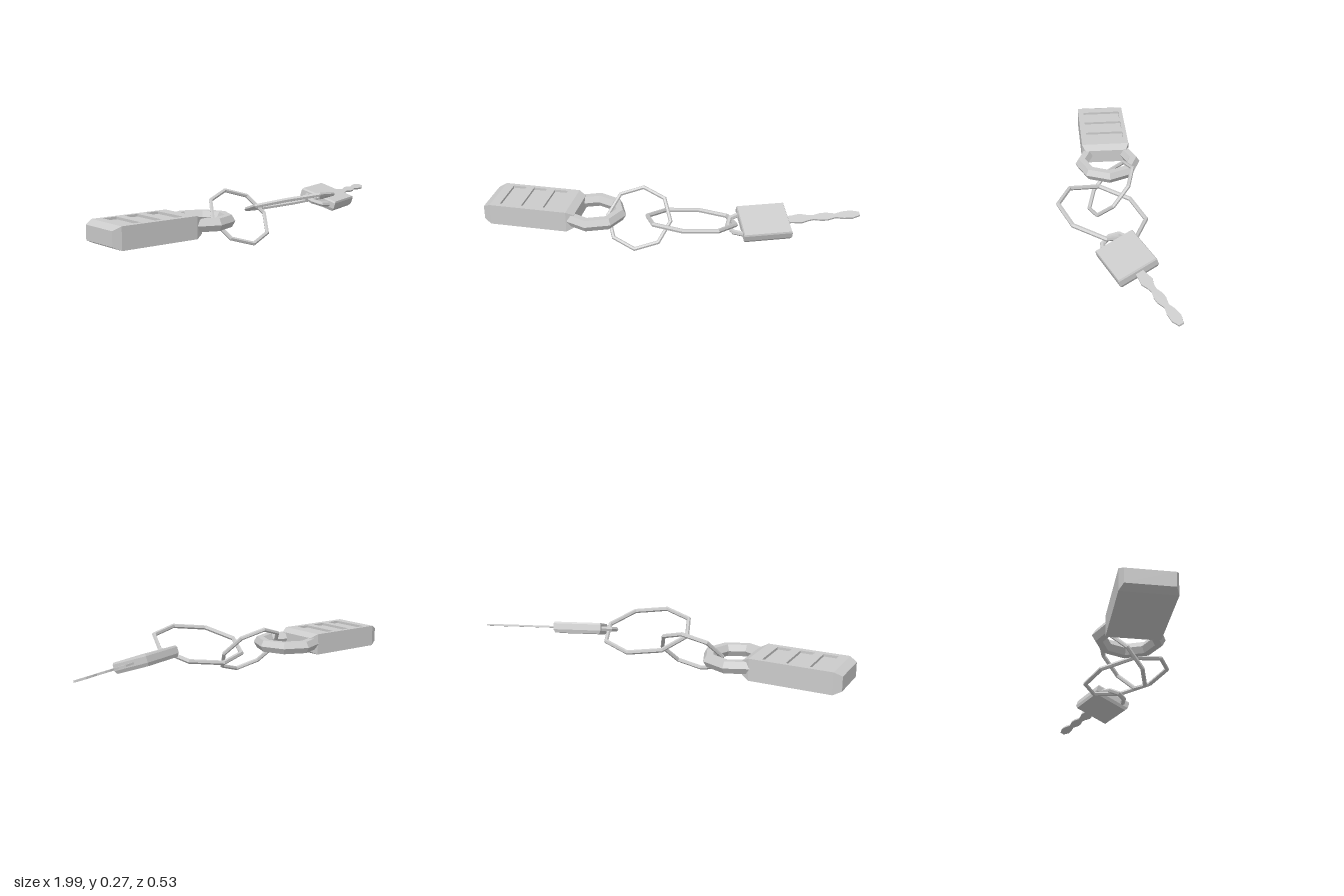
import * as THREE from 'three';

const material = new THREE.MeshStandardMaterial({ color: 0xcccccc, flatShading: true });
const deg = THREE.MathUtils.degToRad;

function add(parent, name, geometry) {
  const mesh = new THREE.Mesh(geometry, material);
  mesh.name = name;
  parent.add(mesh);
  return mesh;
}

// Skins a row of four-cornered sections and closes both ends
function loft(sections) {
  const points = sections.flat(2);
  const index = [];
  for (let i = 0; i < sections.length - 1; i++) {
    for (let j = 0; j < 4; j++) {
      const a = i * 4 + j, b = i * 4 + (j + 1) % 4;
      index.push(a, b, b + 4, a, b + 4, a + 4);
    }
  }
  const e = (sections.length - 1) * 4;
  index.push(0, 2, 1, 0, 3, 2, e, e + 1, e + 2, e, e + 2, e + 3);
  const g = new THREE.BufferGeometry();
  g.setAttribute('position', new THREE.Float32BufferAttribute(points, 3));
  g.setIndex(index);
  const flat = g.toNonIndexed();
  flat.computeVertexNormals();
  return flat;
}

// Closed rectangle path between two corners
function rect(path, x0, y0, x1, y1) {
  path.moveTo(x0, y0);
  path.lineTo(x1, y0);
  path.lineTo(x1, y1);
  path.lineTo(x0, y1);
  path.closePath();
  return path;
}

// Eight-sided wire ring tilted about the x axis
function ring(parent, name, radius, tube, position, tilt) {
  const mesh = add(parent, name, new THREE.TorusGeometry(radius, tube, 6, 8));
  mesh.position.set(...position);
  mesh.rotation.x = deg(tilt);
}

function createFob() {
  const fob = new THREE.Group();
  fob.name = 'fob';

  // Case with chamfered ends, lowered where the slotted cover sits
  const section = (x, y0, y1, inset) => {
    const z0 = -0.18 + inset, z1 = 0.087 - inset;
    return [[x, y0, z0], [x, y1, z0], [x, y1, z1], [x, y0, z1]];
  };
  add(fob, 'fobCase', loft([
    section(-1, 0.105, 0.18, 0.018),
    section(-0.96, 0.086, 0.2, 0),
    section(-0.96, 0.086, 0.187, 0),
    section(-0.535, 0.086, 0.187, 0),
    section(-0.535, 0.086, 0.2, 0),
    section(-0.495, 0.105, 0.18, 0.018),
  ]));

  // Cover with three recessed slots
  const cover = rect(new THREE.Shape(), -0.96, -0.087, -0.535, 0.18);
  for (const x of [-0.873, -0.754, -0.633]) {
    cover.holes.push(rect(new THREE.Path(), x - 0.037, -0.056, x + 0.037, 0.157));
  }
  const coverGeometry = new THREE.ExtrudeGeometry(cover, { depth: 0.013, bevelEnabled: false });
  coverGeometry.rotateX(-Math.PI / 2);
  add(fob, 'slottedCover', coverGeometry).position.y = 0.187;

  // Thick loop
  ring(fob, 'fobLoop', 0.146, 0.036, [-0.42, 0.147, -0.05], 90);
  return fob;
}

// Local axes: x along the key, y across the body, z through its thickness
function createPadlock() {
  const padlock = new THREE.Group();
  padlock.name = 'padlock';

  const section = (z, inset) => {
    const x = 0.128 - inset, y = 0.107 - inset;
    return [[-x, -y, z], [x, -y, z], [x, y, z], [-x, y, z]];
  };
  add(padlock, 'padlockBody', loft([
    section(-0.029, 0.008), section(-0.012, 0), section(0.02, 0), section(0.029, 0.004),
  ]));

  const shackle = add(padlock, 'shackle', new THREE.TorusGeometry(0.068, 0.014, 6, 4, Math.PI));
  shackle.rotation.z = Math.PI / 2;
  shackle.position.x = -0.125;

  // Wavy key blade: half widths along its length, mirrored
  const profile = [
    [0.12, 0.02], [0.16, 0.024], [0.2, 0.03], [0.24, 0.018], [0.27, 0.014],
    [0.31, 0.024], [0.345, 0.024], [0.39, 0.013], [0.43, 0.023], [0.48, 0.026], [0.523, 0.012],
  ];
  const outline = [
    ...profile.map(([x, w]) => new THREE.Vector2(x, 0.004 - w)),
    ...profile.slice().reverse().map(([x, w]) => new THREE.Vector2(x, 0.004 + w)),
  ];
  const blade = new THREE.ExtrudeGeometry(new THREE.Shape(outline), { depth: 0.01, bevelEnabled: false });
  add(padlock, 'keyBlade', blade).position.z = -0.003;

  padlock.position.set(0.5, 0.178, -0.065);
  padlock.rotation.set(deg(-71.6), deg(21), 0, 'YXZ');
  return padlock;
}

export function createModel() {
  const model = new THREE.Group();
  model.name = 'keychain';
  model.add(createFob(), createPadlock());
  // Linked wire rings
  ring(model, 'smallRing', 0.172, 0.011, [-0.165, 0.14, -0.045], -43);
  ring(model, 'largeRing', 0.234, 0.012, [0.13, 0.197, 0.022], 75);
  return model;
}
